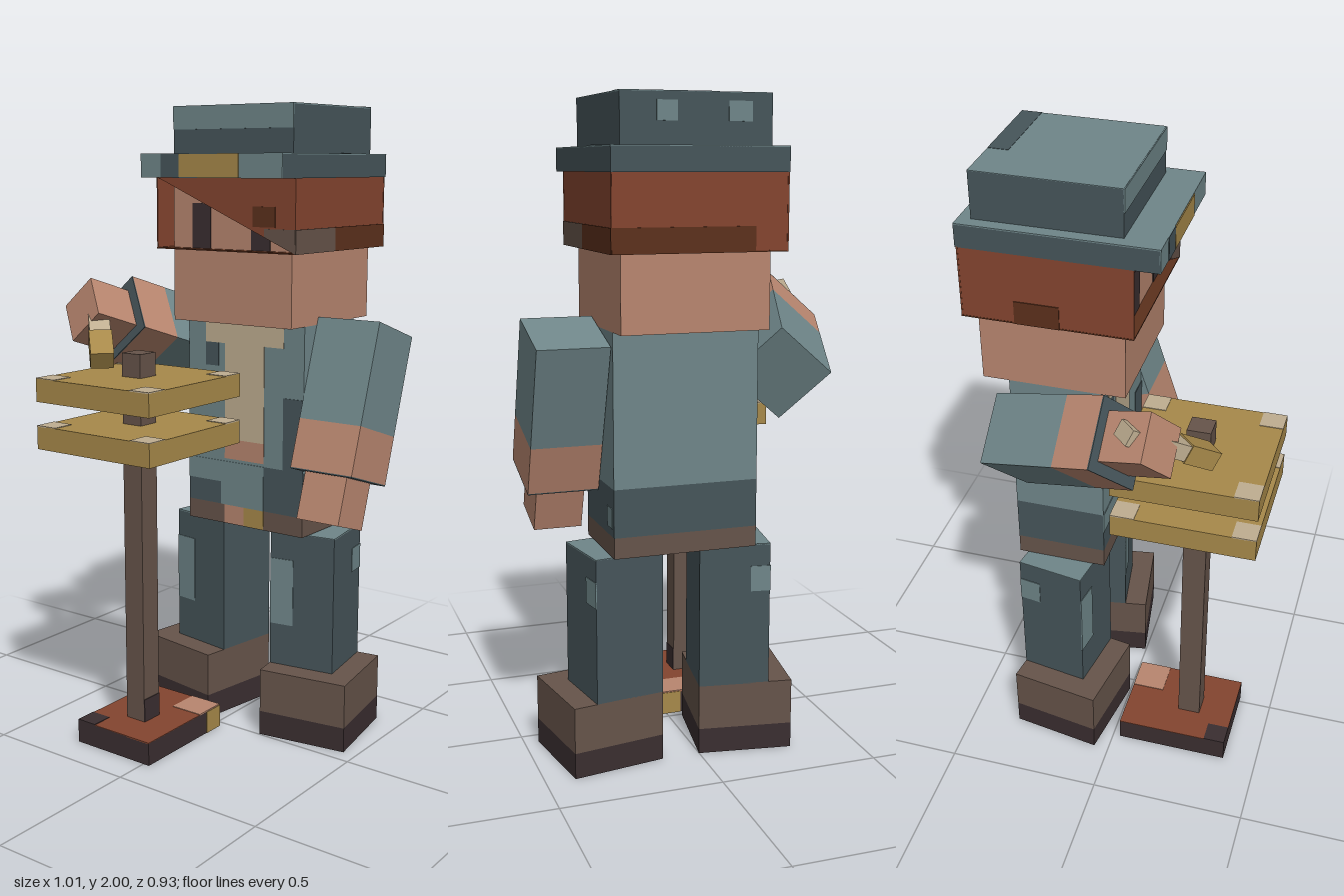
import * as THREE from 'three';

const mat = (name, color) => {
  const m = new THREE.MeshStandardMaterial({ color });
  m.name = name;
  return m;
};

export function createModel() {
  const slate = mat('slate', 0x6f8689);
  const navy = mat('darkSlate', 0x46555a);
  const skin = mat('skin', 0xb8866f);
  const brick = mat('brickHair', 0x84452f);
  const shade = mat('darkHair', 0x5c301c);
  const cream = mat('cream', 0xbfae91);
  const gold = mat('gold', 0xa7894a);
  const brown = mat('brown', 0x66544a);
  const dark = mat('darkBrown', 0x3a2e30);

  const model = new THREE.Group();
  const group = (name, parent = model) => {
    const g = new THREE.Group();
    g.name = name;
    parent.add(g);
    return g;
  };
  // Box given by its limits on each axis
  const box = (parent, name, m, [x0, x1], [y0, y1], [z0, z1]) => {
    const mesh = new THREE.Mesh(new THREE.BoxGeometry(x1 - x0, y1 - y0, z1 - z0), m);
    mesh.position.set((x0 + x1) / 2, (y0 + y1) / 2, (z0 + z1) / 2);
    mesh.name = name;
    parent.add(mesh);
    return mesh;
  };
  // Thin painted plate lying on a face: exactly one of the limits is a number
  const paint = (parent, name, m, ...limits) =>
    box(parent, name, m, ...limits.map((l) => (Array.isArray(l) ? l : [l - 0.002, l + 0.002])));

  // Head and eyes
  const head = group('head');
  box(head, 'face', skin, [-0.16, 0.285], [1.338, 1.785], [-0.427, 0.018]);
  for (const x of [-0.085, 0.137]) paint(head, 'eye', dark, [x, x + 0.07], [1.565, 1.705], 0.018);

  // Hair: a hollow shell with a diagonal fringe
  const hair = group('hair');
  const [hx, hy, hz] = [[-0.2, 0.32], [1.563, 1.785], [-0.462, 0.055]];
  for (const x of hx) paint(hair, 'hairSide', brick, x - Math.sign(x) * 0.003, hy, hz);
  paint(hair, 'hairBack', brick, hx, hy, -0.459);
  paint(hair, 'hairUnderside', shade, hx, 1.565, hz);
  const slice = (name, m, points, z) => {
    const shape = new THREE.Shape(points.map((p) => new THREE.Vector2(...p)));
    const mesh = new THREE.Mesh(new THREE.ExtrudeGeometry(shape, { depth: 0.003, bevelEnabled: false }), m);
    mesh.position.z = z;
    mesh.name = name;
    hair.add(mesh);
  };
  slice('fringe', brick, [[-0.2, 1.785], [0.32, 1.563], [0.32, 1.785]], 0.052);
  slice('fringeTip', brown, [[0.21, 1.612], [0.32, 1.564], [0.32, 1.635], [0.21, 1.635]], 0.054);
  paint(hair, 'fringeSpot', shade, [0.17, 0.25], [1.64, 1.7], 0.056);
  paint(hair, 'sideburn', brown, 0.32, [1.563, 1.635], [-0.165, 0.055]);
  paint(hair, 'napeSide', shade, 0.32, [1.563, 1.635], [-0.462, -0.165]);
  paint(hair, 'napeBack', shade, [-0.1, 0.32], [1.563, 1.635], -0.462);
  paint(hair, 'napeSide', shade, -0.2, [1.563, 1.635], [-0.3, -0.165]);

  // Hat: brim, crown, band and patches
  const hat = group('hat');
  box(hat, 'brim', navy, [-0.2, 0.322], [1.783, 1.852], [-0.465, 0.128]);
  paint(hat, 'brimTop', slate, [-0.2, 0.322], 1.853, [-0.465, 0.128]);
  paint(hat, 'brimFront', slate, [-0.2, 0.322], [1.783, 1.855], 0.128);
  paint(hat, 'brimFrontShade', navy, [-0.12, -0.05], [1.783, 1.855], 0.13);
  paint(hat, 'hatBadge', gold, [-0.05, 0.17], [1.785, 1.853], 0.131);
  paint(hat, 'brimPatch', navy, [0.285, 0.322], 1.855, [-0.31, -0.25]);
  box(hat, 'crown', navy, [-0.16, 0.285], [1.85, 1.997], [-0.427, 0.016]);
  paint(hat, 'crownTop', slate, [-0.16, 0.285], 1.997, [-0.427, 0.016]);
  paint(hat, 'crownFront', slate, [-0.16, 0.285], [1.928, 1.998], 0.017);
  paint(hat, 'crownTopPatch', navy, [-0.003, 0.285], 1.998, [-0.427, -0.365]);
  paint(hat, 'crownBackPatch', slate, [-0.1, -0.03], [1.92, 1.975], -0.427);
  paint(hat, 'crownBackPatch', slate, [0.12, 0.18], [1.92, 1.975], -0.427);

  // Torso: shirt, hem and belt, with painted front
  const torso = group('torso');
  const [tx, tz] = [[-0.16, 0.285], [-0.345, -0.057]];
  box(torso, 'shirt', slate, tx, [0.88, 1.338], tz);
  box(torso, 'shirtHem', navy, tx, [0.735, 0.88], tz);
  box(torso, 'belt', brown, tx, [0.672, 0.735], tz);
  const front = [
    ['collar', cream, [-0.09, 0.21], [1.265, 1.338]],
    ['shirtFront', cream, [-0.015, 0.137], [0.955, 1.265]],
    ['waistOpening', skin, [-0.015, 0.137], [0.89, 0.955]],
    ['lapelShade', navy, [-0.09, -0.04], [1.19, 1.265]],
    ['vestShade', navy, [0.21, 0.285], [0.88, 1.11]],
    ['hemFront', slate, [-0.03, 0.137], [0.735, 0.88]],
    ['hemFront', slate, [-0.16, -0.03], [0.81, 0.88]],
    ['beltStrap', skin, [-0.015, 0.06], [0.674, 0.737]],
    ['beltBuckle', gold, [0.06, 0.137], [0.674, 0.737]],
  ];
  for (const [name, m, x, y] of front) paint(torso, name, m, x, y, -0.057);
  paint(torso, 'hemPatch', slate, 0.285, [0.76, 0.82], [-0.33, -0.28]);

  // Arms: local y runs up from hand to shoulder
  const arm = (name, length, handle) => {
    const g = group(name);
    const h = length / 2, w = [-0.108, 0.108], k = -h + length * 0.33;
    box(g, 'sleeve', slate, w, [k, h], w);
    box(g, 'forearm', skin, w, [-h + 0.004, k], w);
    paint(g, 'cuffEnd', navy, w, -h + 0.002, w);
    box(g, 'hand', skin, [-0.074, 0.074], [-h - 0.148, -h], [-0.074, 0.074]);
    return g;
  };
  const leftArm = arm('leftArm', 0.474);
  leftArm.position.set(0.395, 1.104, -0.159);
  leftArm.rotation.x = -0.318;

  const rightArm = arm('rightArm', 0.407);
  const across = new THREE.Vector3(0.165, 0.143, 0).normalize();
  const up = new THREE.Vector3(0.115, -0.13, -0.367).normalize();
  const depth = across.clone().cross(up).normalize();
  up.copy(depth).cross(across);
  rightArm.quaternion.setFromRotationMatrix(new THREE.Matrix4().makeBasis(across, up, depth));
  rightArm.position.set(-0.304, 1.255, -0.128);

  // Brush held in the raised hand, pointing down at the table
  const brush = group('brush');
  const start = new THREE.Vector3(-0.427, 1.41, 0.093);
  const aim = new THREE.Vector3(0.2, -0.18, 0.2);
  brush.position.copy(start);
  brush.lookAt(start.clone().add(aim));
  box(brush, 'brushHandle', cream, [-0.033, 0.033], [-0.025, 0.025], [-0.005, 0.22]);
  box(brush, 'brushHead', gold, [-0.036, 0.036], [-0.03, 0.03], [0.22, 0.335]);

  // Legs and boots, toes turned slightly outward
  for (const s of [-1, 1]) {
    const leg = group(s > 0 ? 'leftLeg' : 'rightLeg');
    leg.position.set(s > 0 ? 0.245 : -0.125, 0, -0.2025);
    leg.rotation.y = s * 0.157;
    const w = [-0.11, 0.11];
    box(leg, 'trouser', navy, w, [0.22, 0.668], w);
    paint(leg, 'trouserTop', slate, w, 0.668, w);
    paint(leg, 'kneePatch', slate, [-0.11, -0.03], [0.36, 0.58], 0.11);
    paint(leg, 'sidePatch', slate, s * 0.11, [0.52, 0.6], [-0.11, -0.04]);
    if (s < 0) paint(leg, 'backPatch', slate, [-0.11, -0.05], [0.52, 0.6], -0.11);
    const bx = [s * 0.037 - 0.147, s * 0.037 + 0.147], bz = [-0.11, 0.184];
    box(leg, 'boot', brown, bx, [0.08, 0.222], bz);
    box(leg, 'sole', dark, bx, [0, 0.08], bz);
  }

  // Stand: base, post and two stacked boards
  const stand = group('stand');
  box(stand, 'base', dark, [-0.27, 0.022], [0, 0.073], [0.024, 0.39]);
  paint(stand, 'baseTop', brick, [-0.27, 0.022], 0.073, [0.024, 0.39]);
  paint(stand, 'baseTopPatch', skin, [-0.09, 0.022], 0.075, [0.024, 0.13]);
  paint(stand, 'baseTopCorner', dark, [-0.27, -0.2], 0.075, [0.32, 0.39]);
  paint(stand, 'baseSidePatch', gold, 0.022, [0, 0.073], [0.024, 0.095]);
  paint(stand, 'baseBackPatch', gold, [-0.05, 0.022], [0, 0.073], 0.024);
  box(stand, 'post', brown, [-0.16, -0.088], [0.07, 1.26], [0.204, 0.278]);
  paint(stand, 'postFoot', dark, -0.088, [0.075, 0.15], [0.204, 0.278]);
  for (const y of [0.968, 1.115]) {
    box(stand, 'board', gold, [-0.345, 0.098], [y, y + 0.072], [0.02, 0.463]);
    for (const x of [-0.345, 0.024])
      for (const z of [0.02, 0.389])
        paint(stand, 'boardCorner', cream, [x, x + 0.074], y + 0.072, [z, z + 0.074]);
  }

  return model;
}
